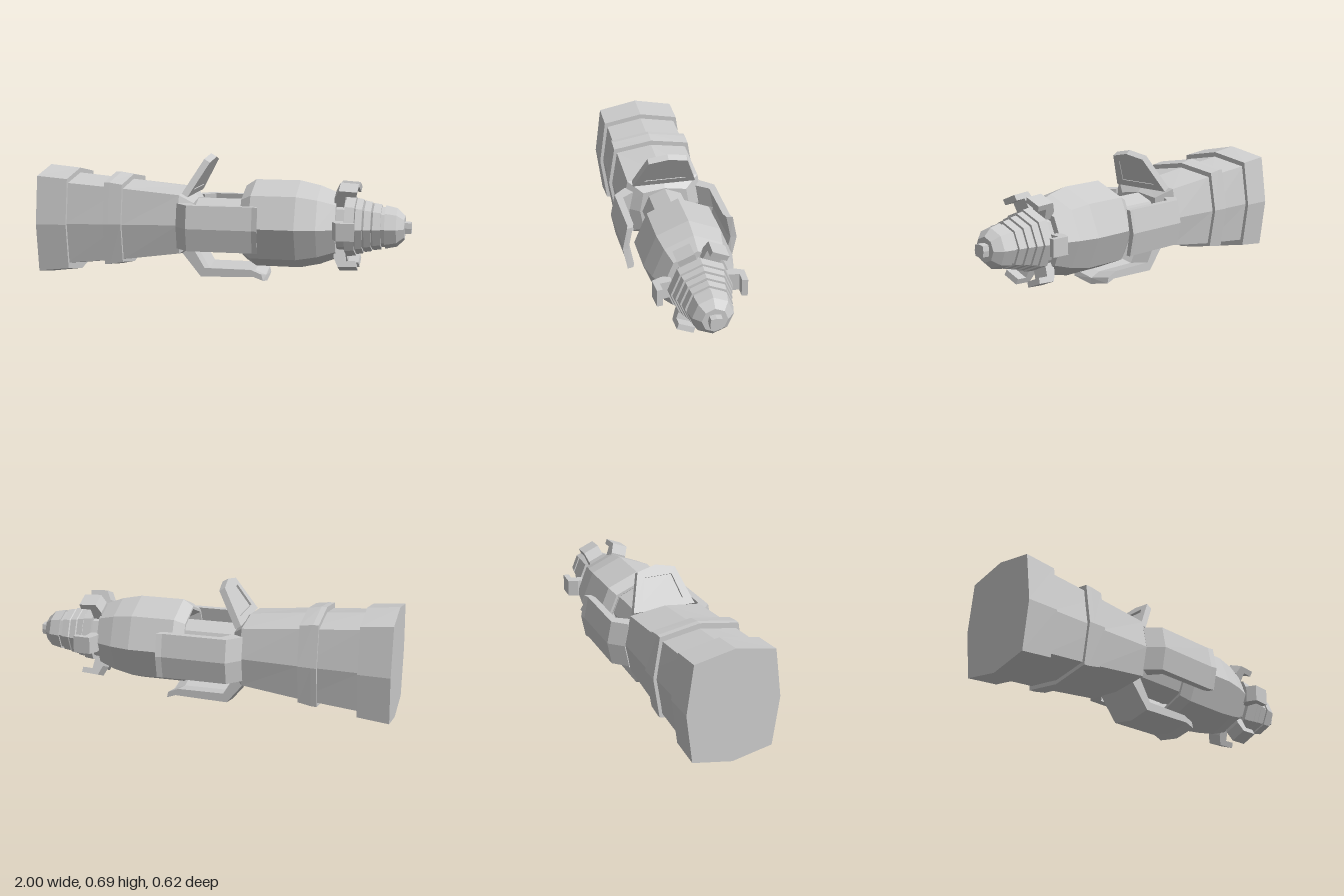
import * as THREE from 'three';

const AXIS = 0.32; // height of the long axis
const material = new THREE.MeshStandardMaterial({ color: 0xcccccc, flatShading: true });

function mesh(name, geometry) {
  const m = new THREE.Mesh(geometry, material);
  m.name = name;
  return m;
}

// Skin a row of closed rings running along x, with flat end caps
function loft(rings) {
  const pos = [];
  const tri = (...pts) => pts.forEach((p) => pos.push(...p));
  const n = rings[0].length;
  for (let i = 0; i < rings.length - 1; i++) {
    const a = rings[i], b = rings[i + 1];
    for (let k = 0; k < n; k++) {
      const j = (k + 1) % n;
      tri(a[k], a[j], b[k]);
      tri(a[j], b[j], b[k]);
    }
  }
  const cap = (ring, front) => {
    const c = [0, 1, 2].map((d) => ring.reduce((s, p) => s + p[d], 0) / n);
    for (let k = 0; k < n; k++) {
      const j = (k + 1) % n;
      front ? tri(c, ring[k], ring[j]) : tri(c, ring[j], ring[k]);
    }
  };
  cap(rings[0], false);
  cap(rings[rings.length - 1], true);
  const g = new THREE.BufferGeometry();
  g.setAttribute('position', new THREE.Float32BufferAttribute(pos, 3));
  g.computeVertexNormals();
  return g;
}

// Eight-cornered ring with a corner at top; k sets how square it is
function octagon(x, cy, h, w, k = Math.SQRT1_2) {
  return [[1, 0], [k, k], [0, 1], [-k, k], [-1, 0], [-k, -k], [0, -1], [k, -k]]
    .map(([y, z]) => [x, cy + y * h, z * w]);
}
const round = (rows) => loft(rows.map(([x, r]) => octagon(x, AXIS, r, r)));
const squarish = (rows) => loft(rows.map(([x, cy, h, w]) => octagon(x, cy, h, w, 0.86)));

// Bent arm with a ridged outer face; rows are [outer x, outer r, inner x, inner r]
function arm(rows, w, ridge) {
  return loft(rows.map(([xo, o, xi, i]) => [
    [xo, o, 0], [xo, o - ridge, w], [xi, i - ridge, w],
    [xi, i, 0], [xi, i - ridge, -w], [xo, o - ridge, -w],
  ]));
}

// Place a part built around the origin axis, turned about the long axis
function around(m, angle) {
  const g = new THREE.Group();
  g.name = m.name;
  g.rotation.x = angle;
  g.position.y = AXIS;
  g.add(m);
  return g;
}

function polygon(points, Type = THREE.Shape) {
  return new Type(points.map(([x, y]) => new THREE.Vector2(x, y)));
}

export function createModel() {
  const model = new THREE.Group();
  model.name = 'handheldTool';

  // Tapered handle, butt and grip ring
  model.add(
    mesh('handle', squarish([
      [-0.84, 0.313, 0.255, 0.232], [-0.52, 0.318, 0.222, 0.232],
      [-0.21, 0.326, 0.182, 0.23], [-0.15, AXIS, 0.13, 0.14],
    ])),
    mesh('butt', squarish([[-1, 0.307, 0.303, 0.25], [-0.83, 0.31, 0.284, 0.25]])),
    mesh('gripRing', squarish([
      [-0.62, 0.32, 0.258, 0.25], [-0.59, 0.321, 0.257, 0.25], [-0.52, 0.323, 0.243, 0.25],
    ])),
    mesh('neck', round([[-0.18, 0.127], [0.22, 0.127]])),
  );

  // Head barrel with a hollow rear rim
  model.add(mesh('head', round([
    [0.2, 0.13], [0.115, 0.185], [0.115, 0.2], [0.17, 0.236],
    [0.41, 0.236], [0.52, 0.212], [0.615, 0.175], [0.615, 0.13],
  ])));

  // Stepped nose: rings with narrow grooves between them
  const nose = [[0.6, 0.14], [0.66, 0.14]];
  [[0.66, 0.71, 0.165], [0.715, 0.75, 0.151], [0.76, 0.795, 0.138], [0.805, 0.845, 0.126]]
    .forEach(([a, b, r]) => nose.push([a, r], [b, r - 0.006], [b, r - 0.018]));
  nose.push([0.865, 0.106], [0.865, 0.116], [0.925, 0.103], [0.965, 0.065]);
  model.add(
    mesh('nose', round(nose)),
    mesh('tip', squarish([[0.95, AXIS, 0.035, 0.035], [1, AXIS, 0.032, 0.032]])),
  );

  // Six hooked prongs around the nose
  const hook = polygon([
    [0.605, 0.14], [0.605, 0.185], [0.63, 0.236], [0.725, 0.23],
    [0.72, 0.2], [0.665, 0.203], [0.655, 0.14],
  ]);
  const hookGeometry = new THREE.ExtrudeGeometry(hook, { depth: 0.092, bevelEnabled: false });
  hookGeometry.translate(0, 0, -0.046);
  [22.5, 90, 157.5, 202.5, 270, 337.5].forEach((deg) => {
    model.add(around(mesh('prong', hookGeometry), THREE.MathUtils.degToRad(deg)));
  });

  // Two side arms and the lower arm
  const sideArm = arm([
    [-0.22, 0.235, -0.16, 0.2], [-0.15, 0.305, -0.11, 0.265],
    [0.2, 0.3, 0.185, 0.265], [0.23, 0.308, 0.22, 0.275],
  ], 0.121, 0.024);
  model.add(
    around(mesh('leftArm', sideArm), Math.PI / 2),
    around(mesh('rightArm', sideArm), -Math.PI / 2),
    around(mesh('lowerArm', arm([
      [-0.22, 0.175, -0.16, 0.145], [-0.11, 0.31, -0.09, 0.262],
      [0.18, 0.3, 0.165, 0.262], [0.23, 0.318, 0.222, 0.285],
    ], 0.124, 0.024)), Math.PI),
  );

  // Raised upper fin: a framed plate with a recessed panel on its rear face
  const outline = polygon([
    [-0.175, 0], [0.175, 0], [0.107, 0.21], [0, 0.235], [-0.107, 0.21],
  ]);
  outline.holes.push(polygon([
    [-0.115, 0.04], [-0.08, 0.175], [0.08, 0.175], [0.115, 0.04],
  ], THREE.Path));
  const frame = new THREE.ExtrudeGeometry(outline, { depth: 0.036, bevelEnabled: false });
  const panel = new THREE.ExtrudeGeometry(
    polygon([[-0.13, 0.03], [0.13, 0.03], [0.09, 0.185], [-0.09, 0.185]]),
    { depth: 0.02, bevelEnabled: false },
  );
  panel.translate(0, 0, 0.004);
  const fin = new THREE.Group();
  fin.name = 'upperFin';
  fin.add(mesh('finFrame', frame), mesh('finPanel', panel));
  // Local z faces the rear of the tool, local y leans forward
  const lean = new THREE.Vector3(0.51, 0.86, 0).normalize();
  const side = new THREE.Vector3(0, 0, -1);
  const back = new THREE.Vector3().crossVectors(side, lean);
  if (back.x > 0) {
    side.negate();
    back.negate();
  }
  fin.quaternion.setFromRotationMatrix(new THREE.Matrix4().makeBasis(side, lean, back));
  fin.position.set(-0.17, 0.47, 0);
  model.add(fin);

  return model;
}
